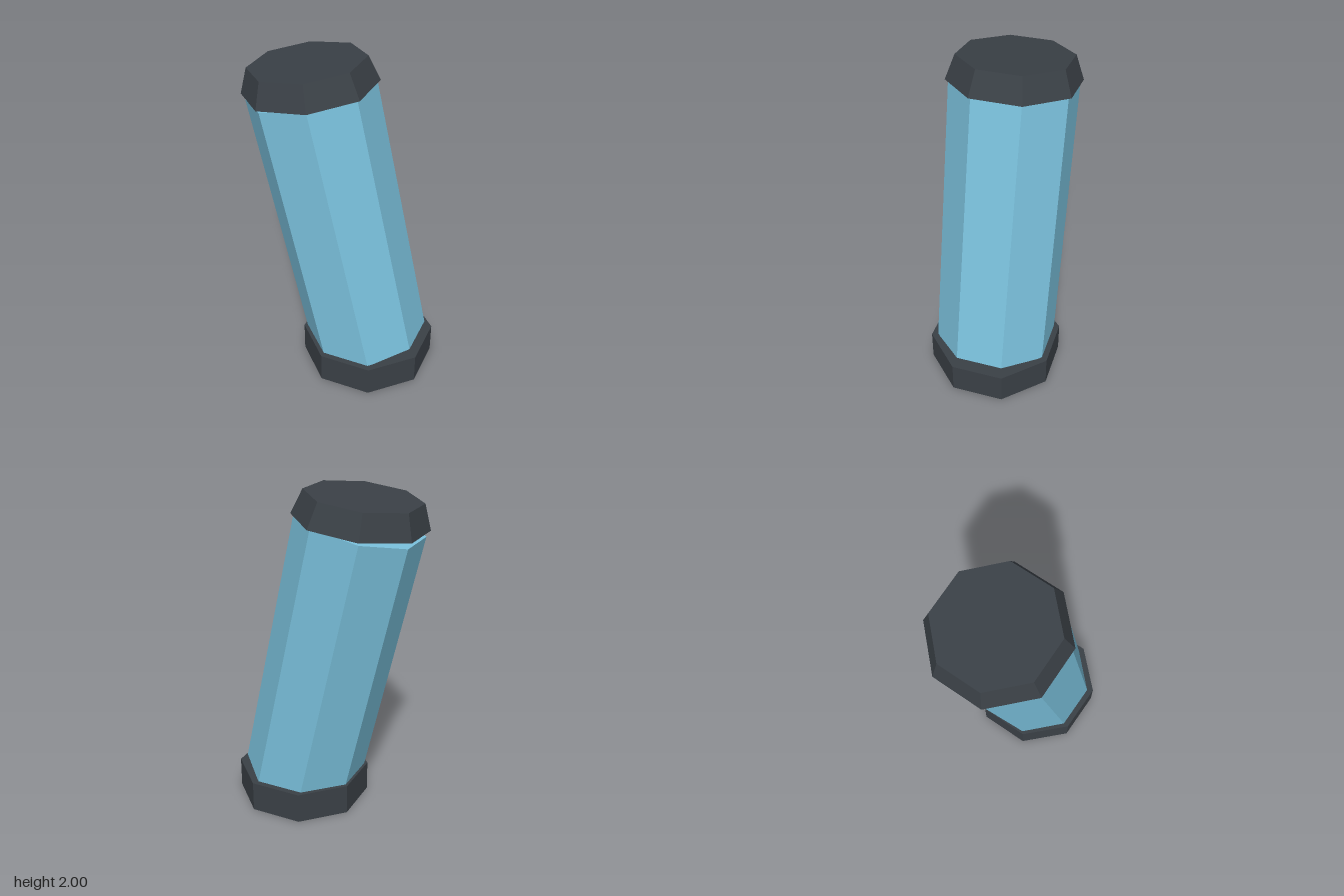
import * as THREE from 'three';

// Eight-sided prism with flat faces on the axes, sized by its flat-to-centre distances
function octagonPrism(topApothem, bottomApothem, height, material, name) {
  const k = 1 / Math.cos(Math.PI / 8);
  const geometry = new THREE.CylinderGeometry(
    topApothem * k, bottomApothem * k, height, 8, 1, false, Math.PI / 8);
  const mesh = new THREE.Mesh(geometry, material);
  mesh.name = name;
  return mesh;
}

export function createModel() {
  const glassBlue = new THREE.MeshStandardMaterial({ color: 0x79bfda, flatShading: true });
  glassBlue.name = 'glass blue';
  const darkGrey = new THREE.MeshStandardMaterial({ color: 0x3a4046, flatShading: true });
  darkGrey.name = 'dark grey';

  const group = new THREE.Group();
  group.name = 'tiltedCanister';

  // Base standing flat on the ground
  const base = octagonPrism(0.383, 0.383, 0.19, darkGrey, 'base');
  base.position.set(0.177, 0.095, 0);

  // Leaning body, its lower edge sunk into the base
  const body = octagonPrism(0.348, 0.348, 1.701, glassBlue, 'body');
  body.position.set(-0.0125, 0.9825, 0);
  body.rotation.z = THREE.MathUtils.degToRad(12.77);

  // Tapered lid, tilted less than the body so a gap opens on one side
  const lid = octagonPrism(0.315, 0.365, 0.148, darkGrey, 'lid');
  lid.position.set(-0.209, 1.889, 0);
  lid.rotation.z = THREE.MathUtils.degToRad(6.95);

  group.add(base, body, lid);
  return group;
}
